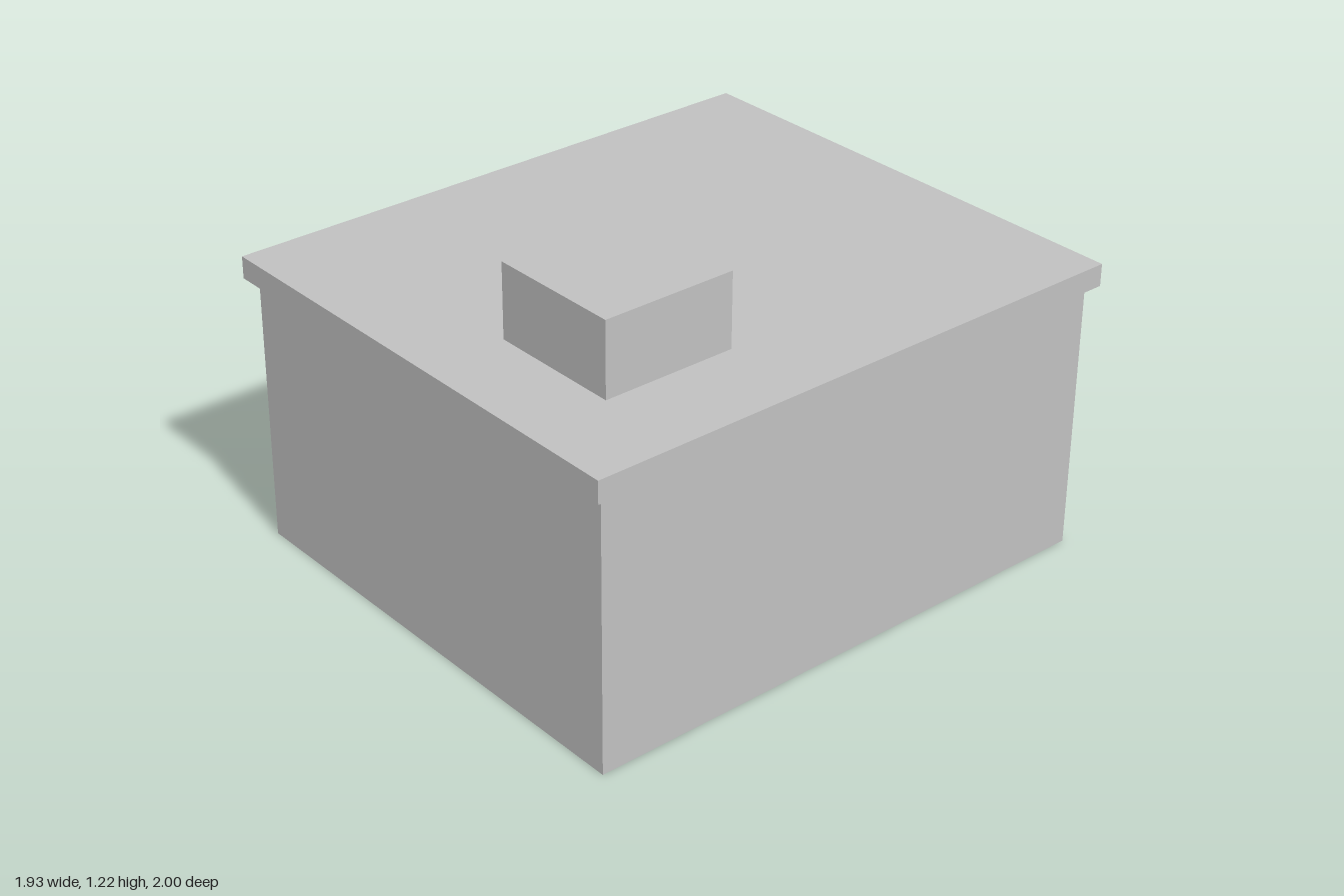
import * as THREE from 'three';

const paint = new THREE.MeshStandardMaterial({ color: 0xc0c0c0 });
paint.name = 'plainGrey';

// Box given by its low and high limits on each axis
function block(name, [x0, x1], [y0, y1], [z0, z1]) {
  const mesh = new THREE.Mesh(new THREE.BoxGeometry(x1 - x0, y1 - y0, z1 - z0), paint);
  mesh.position.set((x0 + x1) / 2, (y0 + y1) / 2, (z0 + z1) / 2);
  mesh.name = name;
  return mesh;
}

export function createModel() {
  const shop = new THREE.Group();
  shop.name = 'shopBuilding';

  // Main volume, roof slab and rooftop unit
  shop.add(
    block('walls', [-0.93, 0.93], [0, 0.9], [-0.643, 0.97]),
    block('roofSlab', [-0.963, 0.963], [0.897, 0.97], [-0.677, 1]),
    block('rooftopUnit', [-0.683, -0.23], [0.97, 1.215], [0.237, 0.69]),
  );

  // Storefront on the -z side: sign board, glazing and door
  shop.add(
    block('signBoard', [-0.857, 0.857], [0.688, 0.886], [-0.703, -0.643]),
    block('glazing', [-0.81, 0.81], [0.095, 0.688], [-0.667, -0.643]),
    block('door', [-0.225, 0.225], [0.055, 0.61], [-0.672, -0.656]),
  );

  // Upright window bars
  for (const x of [-0.765, -0.385, 0, 0.385, 0.765]) {
    shop.add(block('windowBar', [x - 0.016, x + 0.016], [0.095, 0.688], [-0.681, -0.65]));
  }

  // Entrance canopy on two posts
  const canopy = new THREE.Group();
  canopy.name = 'entranceCanopy';
  canopy.add(block('canopyRoof', [-0.325, 0.325], [0.634, 0.683], [-1, -0.667]));
  for (const side of [-1, 1]) {
    const x = side * 0.28;
    canopy.add(block('canopyPost', [x - 0.019, x + 0.019], [0.03, 0.634], [-0.992, -0.955]));
  }
  shop.add(canopy);

  return shop;
}
